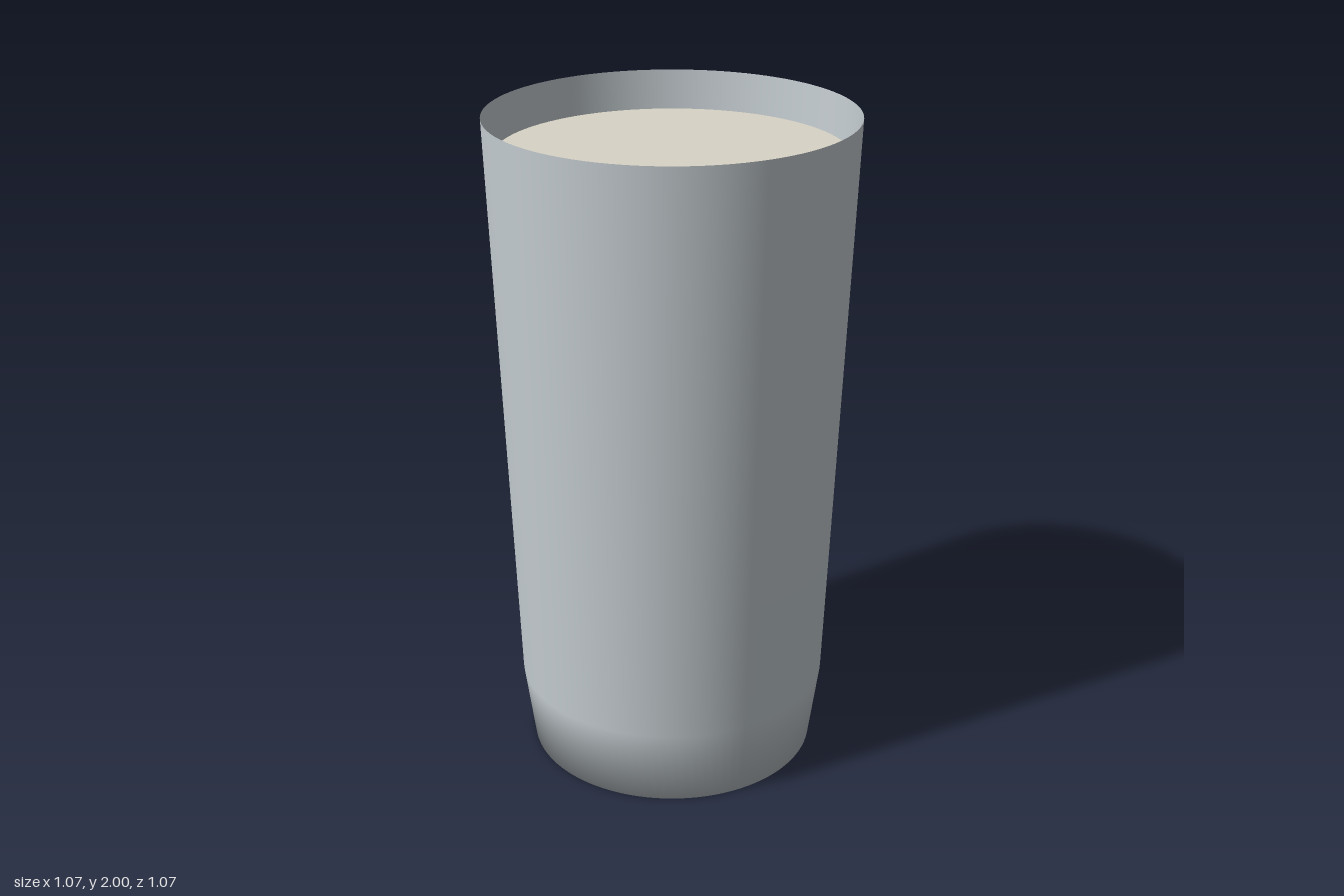
import * as THREE from 'three';

const SEGMENTS = 96;

export function createModel() {
  const group = new THREE.Group();
  group.name = 'drinkingGlass';

  // Thin tapered wall and closed base, shaded smoothly as one surface
  const profile = [[0, 0], [0.44, 0], [0.472, 0.24], [0.537, 2]]
    .map(([r, y]) => new THREE.Vector2(r, y));
  const cup = new THREE.Mesh(
    new THREE.LatheGeometry(profile, SEGMENTS),
    new THREE.MeshStandardMaterial({ color: 0xc6ced2, side: THREE.DoubleSide })
  );
  cup.name = 'cup';
  group.add(cup);

  // Flat surface of the drink just below the rim
  const drink = new THREE.Mesh(
    new THREE.CircleGeometry(0.511, SEGMENTS).rotateX(-Math.PI / 2),
    new THREE.MeshStandardMaterial({ color: 0xd8d3c6, side: THREE.DoubleSide })
  );
  drink.name = 'drinkSurface';
  drink.position.y = 1.885;
  group.add(drink);

  return group;
}
